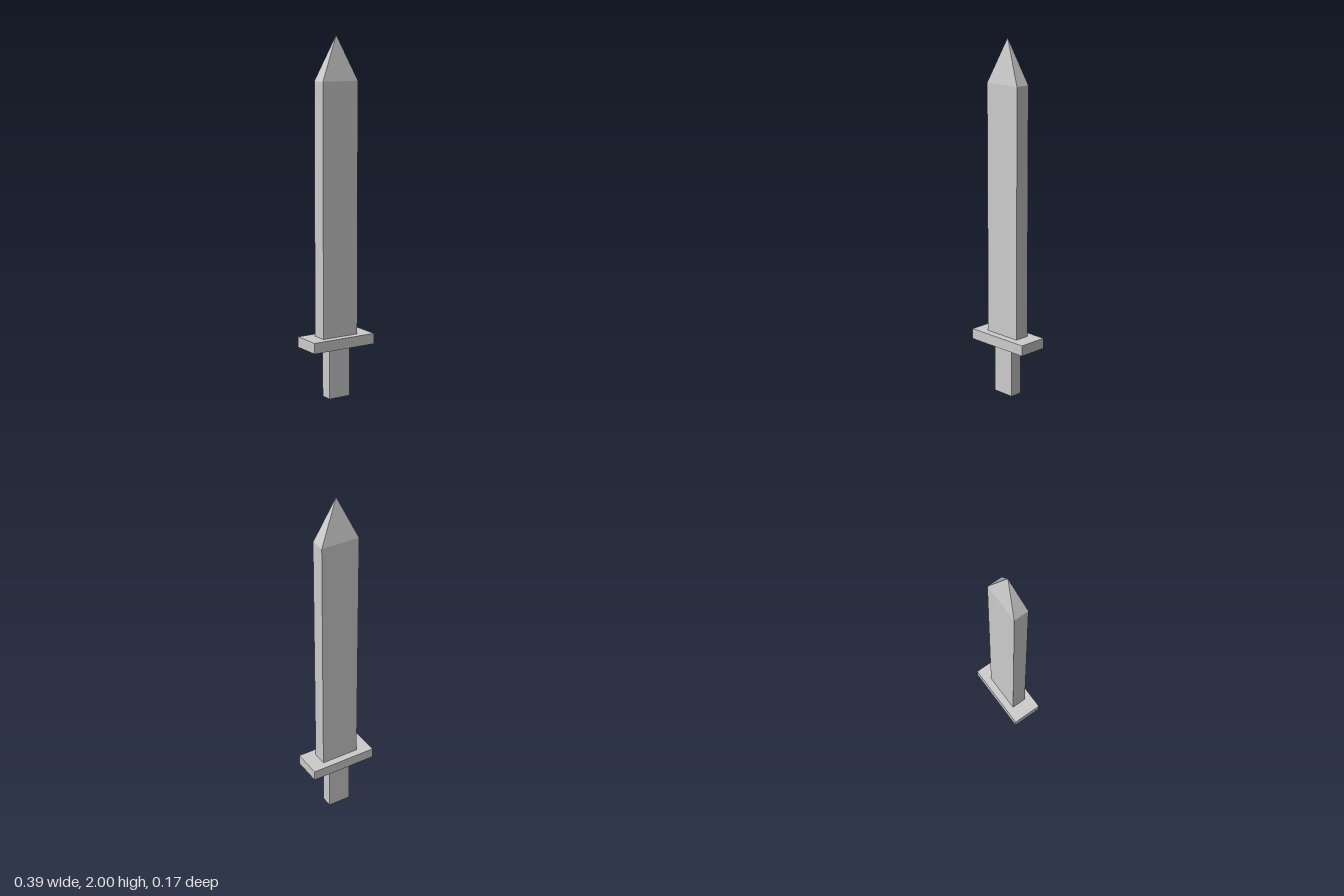
import * as THREE from 'three';

const material = new THREE.MeshStandardMaterial({ color: 0xcccccc, flatShading: true });

// Block of width w and depth d, spanning heights y0 to y1
function block(name, w, d, y0, y1) {
  const mesh = new THREE.Mesh(new THREE.BoxGeometry(w, y1 - y0, d), material);
  mesh.name = name;
  mesh.position.y = (y0 + y1) / 2;
  return mesh;
}

// Four-sided pyramid on a w by d base
function pyramid(name, w, d, y0, y1) {
  const geometry = new THREE.ConeGeometry(Math.SQRT1_2, y1 - y0, 4, 1, true);
  geometry.rotateY(Math.PI / 4).scale(w, 1, d);
  const mesh = new THREE.Mesh(geometry, material);
  mesh.name = name;
  mesh.position.y = (y0 + y1) / 2;
  return mesh;
}

export function createModel() {
  const sword = new THREE.Group();
  sword.name = 'sword';

  // Handle and crossguard
  sword.add(block('grip', 0.134, 0.07, 0, 0.29));
  sword.add(block('crossguard', 0.392, 0.17, 0.29, 0.35));

  // Blade with a pointed tip
  const blade = new THREE.Group();
  blade.name = 'blade';
  blade.add(block('bladeBody', 0.224, 0.086, 0.35, 1.755));
  blade.add(pyramid('bladeTip', 0.224, 0.086, 1.755, 2));
  sword.add(blade);

  return sword;
}
